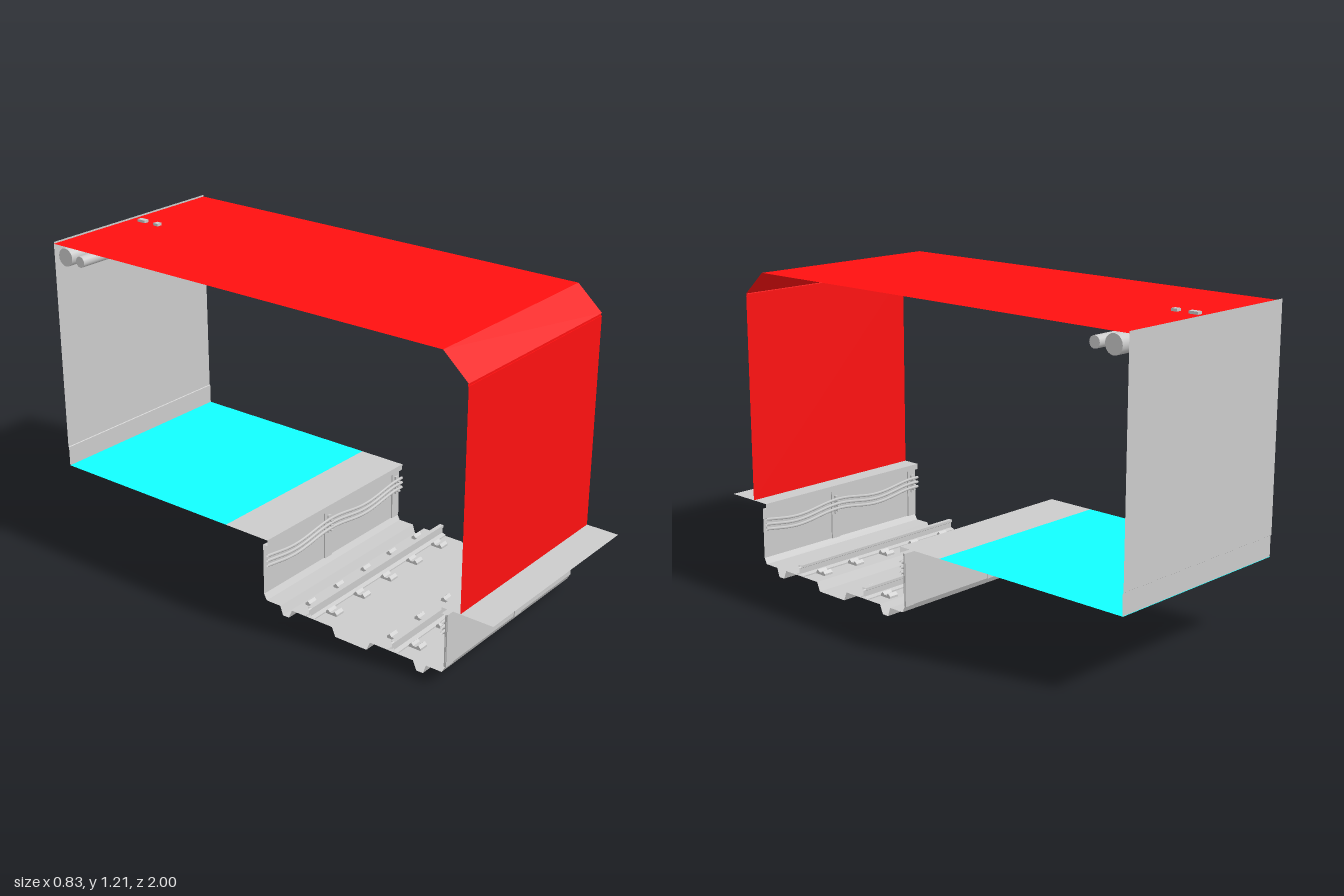
import * as THREE from 'three';

const W = 0.413; // half length along x
const material = (color) => new THREE.MeshStandardMaterial({ color, side: THREE.DoubleSide, flatShading: true });
const grey = material(0xcccccc), red = material(0xff1010), cyan = material(0x12ffff);
const pipeMat = new THREE.MeshStandardMaterial({ color: 0xcccccc, side: THREE.DoubleSide });

// Open sheet: a [z, y] profile swept along x
function sheet(name, mat, profile, x0 = -W, x1 = W) {
  const pos = [];
  for (let i = 0; i < profile.length - 1; i++) {
    const [za, ya] = profile[i], [zb, yb] = profile[i + 1];
    pos.push(x0, ya, za, x1, ya, za, x1, yb, zb, x0, ya, za, x1, yb, zb, x0, yb, zb);
  }
  const g = new THREE.BufferGeometry();
  g.setAttribute('position', new THREE.Float32BufferAttribute(pos, 3));
  g.computeVertexNormals();
  const m = new THREE.Mesh(g, mat);
  m.name = name;
  return m;
}

function box(name, w, h, d, x, y, z) {
  const m = new THREE.Mesh(new THREE.BoxGeometry(w, h, d), grey);
  m.name = name;
  m.position.set(x, y, z);
  return m;
}

// Pipe along x, hung from the ceiling by a collar and a stem
function hungPipe(name, z, y, r) {
  const g = new THREE.Group();
  g.name = name;
  for (const [part, radius, length] of [['pipe', r * 0.93, 2 * W], ['collar', r, 0.022]]) {
    const m = new THREE.Mesh(new THREE.CylinderGeometry(radius, radius, length, 20), pipeMat);
    m.name = part;
    m.rotation.z = Math.PI / 2;
    m.position.set(0, y, z);
    g.add(m);
  }
  const top = 1.21, base = y + r * 0.8;
  g.add(box('stem', 0.022, top - base, r, 0, (top + base) / 2, z));
  return g;
}

// Side panel of the track bed, built at z = 0 with cables on its +z side
function cableWall() {
  const g = new THREE.Group();
  g.name = 'cableWall';
  g.add(sheet('panel', grey, [[0, 0.058], [0, 0.262]]));
  for (const x of [-0.04, 0.39]) {
    g.add(box('post', 0.042, 0.204, 0.01, x, 0.16, 0.001));
    g.add(box('bracket', 0.016, 0.075, 0.008, x, 0.2, 0.009));
    for (let i = 0; i < 3; i++) g.add(box('hook', 0.014, 0.005, 0.016, x, 0.177 + i * 0.02, 0.018));
  }
  for (let i = 0; i < 3; i++) {
    const pts = [];
    for (let k = 0; k <= 16; k++) {
      const x = -W + (2 * W * k) / 16;
      const sag = 0.022 * Math.sin((Math.PI * (x + 0.04)) / 0.43) ** 2;
      pts.push(new THREE.Vector3(x, 0.186 + i * 0.02 - sag, 0.019));
    }
    const cable = new THREE.Mesh(new THREE.TubeGeometry(new THREE.CatmullRomCurve3(pts), 32, 0.006, 6), pipeMat);
    cable.name = 'cable';
    g.add(cable);
  }
  return g;
}

// Rail with an open I-shaped profile, and clips on both sides of its foot
function rail(z) {
  const g = new THREE.Group();
  g.name = 'rail';
  const half = [[0.02, 0.035], [0.02, 0.04], [0.004, 0.045], [0.004, 0.066], [0.009, 0.069], [0.009, 0.079]];
  const profile = [...half, ...half.map(([a, y]) => [-a, y]).reverse()];
  g.add(sheet('railBody', grey, profile.map(([a, y]) => [a + z, y])));
  const s = new THREE.Shape();
  [[-0.025, 0], [0.025, 0], [0.025, 0.008], [0.015, 0.018], [0.006, 0.009], [-0.006, 0.009], [-0.015, 0.018], [-0.025, 0.008]]
    .forEach(([a, b], i) => (i ? s.lineTo(a, b) : s.moveTo(a, b)));
  const clipGeo = new THREE.ExtrudeGeometry(s, { depth: 0.04, bevelEnabled: false });
  clipGeo.translate(0, 0, -0.02);
  clipGeo.rotateY(Math.PI / 2);
  for (let i = -2; i <= 2; i++) {
    for (const side of [-1, 1]) {
      const clip = new THREE.Mesh(clipGeo, grey);
      clip.name = 'railClip';
      clip.position.set(i * 0.165, 0.036, z + side * 0.047);
      g.add(clip);
    }
  }
  return g;
}

export function createModel() {
  const model = new THREE.Group();
  model.name = 'stationSection';
  const MID = 0.4125; // centre line of the track

  // Enclosing shell
  model.add(sheet('ceiling', red, [[-1, 1.2], [0.77, 1.2], [0.87, 1.11]]));
  model.add(sheet('frontWall', red, [[0.87, 1.11], [0.867, 1.108], [0.867, 1.1], [0.87, 1.1], [0.87, 0.285]]));
  model.add(sheet('backWall', grey, [[-1, 1.207], [-1, 0.365], [-0.997, 0.363], [-0.997, 0.285]]));

  // Platform floor with its edge strip, and the ledge across the track
  model.add(sheet('platformFloor', cyan, [[-1, 0.285], [-0.17, 0.285]]));
  model.add(sheet('platformEdge', grey, [[-0.17, 0.285], [0.03, 0.285], [0.03, 0.262], [0.01, 0.262]]));
  model.add(sheet('farLedge', grey, [[1, 0.285], [0.795, 0.285], [0.795, 0.262], [0.815, 0.262]]));

  // Track bed: side shelves, drains, rail plinths and the centre trough, mirrored about the centre line
  const half = [[0.4025, 0.058], [0.39, 0.035], [0.325, 0.035], [0.313, 0], [0.285, 0], [0.27, 0.035], [0.085, 0.035], [0.07, 0]];
  const bed = [...half.map(([a, y]) => [MID + a, y]), ...half.map(([a, y]) => [MID - a, y]).reverse()];
  model.add(sheet('trackBed', grey, bed));
  for (const side of [-1, 1]) model.add(rail(MID + side * 0.185));

  // Cable walls on both sides, the far one turned round
  const near = cableWall();
  near.position.z = 0.01;
  const far = cableWall();
  far.rotation.y = Math.PI;
  far.position.z = 0.815;
  model.add(near, far);

  // Ceiling pipes
  model.add(hungPipe('largePipe', -0.94, 1.158, 0.038));
  model.add(hungPipe('smallPipe', -0.863, 1.155, 0.023));
  return model;
}
